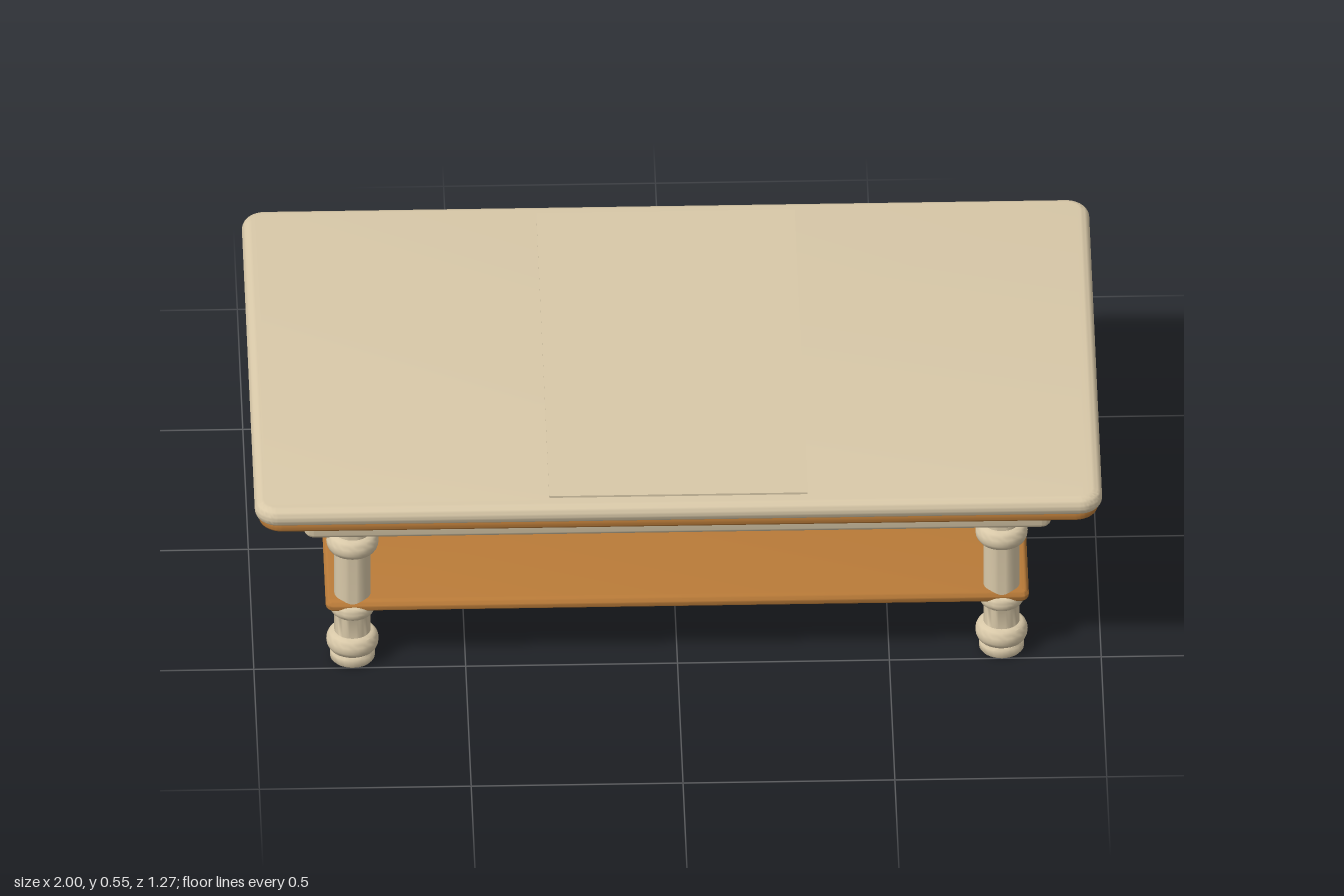
import * as THREE from 'three';
import { toCreasedNormals } from 'three/addons/utils/BufferGeometryUtils.js';

// Horizontal board with rounded corners and rounded top and bottom edges
function board(name, material, width, depth, y0, y1, corner, bevel) {
  const x = width / 2 - bevel, z = depth / 2 - bevel, r = Math.max(corner - bevel, 0.004);
  const shape = new THREE.Shape();
  shape.absarc(x - r, z - r, r, 0, Math.PI / 2);
  shape.absarc(-x + r, z - r, r, Math.PI / 2, Math.PI);
  shape.absarc(-x + r, -z + r, r, Math.PI, Math.PI * 1.5);
  shape.absarc(x - r, -z + r, r, Math.PI * 1.5, Math.PI * 2);
  shape.closePath();
  const geometry = new THREE.ExtrudeGeometry(shape, {
    depth: y1 - y0 - 2 * bevel, bevelEnabled: true, bevelThickness: bevel,
    bevelSize: bevel, bevelSegments: 6, curveSegments: 8,
  });
  geometry.rotateX(-Math.PI / 2).translate(0, y0 + bevel, 0);
  const mesh = new THREE.Mesh(toCreasedNormals(geometry, 0.6), material);
  mesh.name = name;
  return mesh;
}

// Half-round bead for the leg profile
function bead(points, y0, y1, inner, outer) {
  for (let i = 0; i <= 10; i++) {
    const t = (i / 10) * Math.PI;
    points.push(new THREE.Vector2(inner + (outer - inner) * Math.sin(t),
      (y0 + y1) / 2 - ((y1 - y0) / 2) * Math.cos(t)));
  }
}

export function createModel() {
  const model = new THREE.Group();
  model.name = 'coffeeTable';
  const cream = new THREE.MeshStandardMaterial({ color: 0xd8c8a8 });
  cream.name = 'cream paint';
  const wood = new THREE.MeshStandardMaterial({ color: 0xb87a38 });
  wood.name = 'brown wood';

  // Table top, its wooden underlay, apron and shelf
  model.add(
    board('tableTop', cream, 2, 1.268, 0.492, 0.54, 0.055, 0.022),
    board('topTrim', wood, 1.98, 1.252, 0.474, 0.506, 0.055, 0.012),
    board('apron', cream, 1.764, 1.066, 0.389, 0.476, 0.024, 0.018),
    board('shelf', wood, 1.66, 0.992, 0.154, 0.184, 0.02, 0.0145),
  );

  // Raised centre panel
  const panel = new THREE.Mesh(new THREE.BoxGeometry(0.61, 0.008, 1.18), cream);
  panel.name = 'centrePanel';
  panel.position.y = 0.541;
  model.add(panel);

  // Turned legs
  const profile = [[0, 0], [0.049, 0], [0.053, 0.005], [0.053, 0.022], [0.049, 0.027]]
    .map(([r, y]) => new THREE.Vector2(r, y));
  bead(profile, 0.027, 0.079, 0.043, 0.062);
  bead(profile, 0.132, 0.17, 0.043, 0.054);
  bead(profile, 0.308, 0.36, 0.043, 0.062);
  profile.push(new THREE.Vector2(0.043, 0.4));
  const legGeometry = toCreasedNormals(new THREE.LatheGeometry(profile, 32), 0.7);
  for (const x of [-1, 1]) {
    for (const z of [-1, 1]) {
      const leg = new THREE.Mesh(legGeometry, cream);
      leg.name = (z > 0 ? 'front' : 'back') + (x > 0 ? 'Left' : 'Right') + 'Leg';
      leg.position.set(x * 0.766, 0, z * 0.451);
      model.add(leg);
    }
  }
  return model;
}
